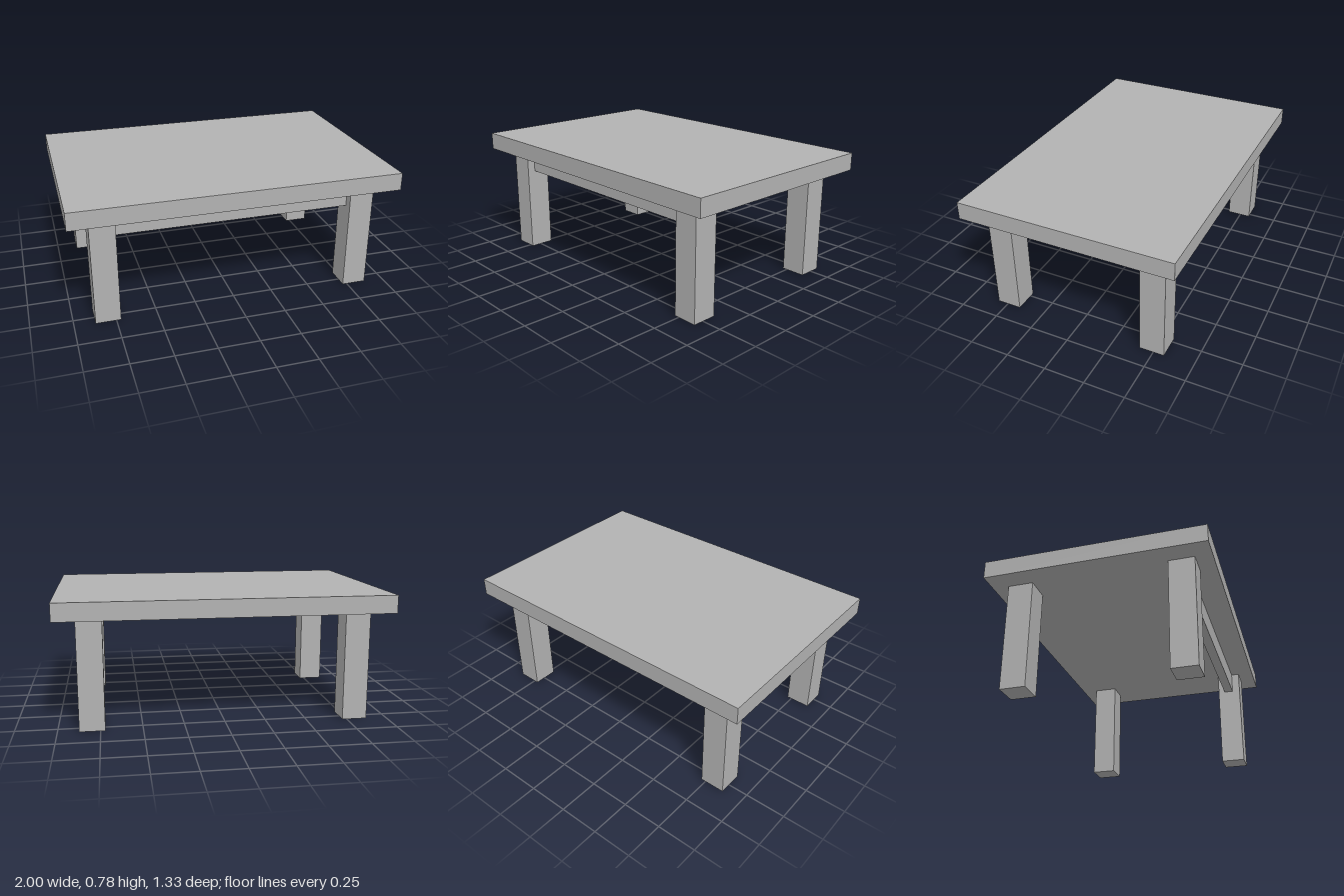
import * as THREE from 'three';

export function createModel() {
  const table = new THREE.Group();
  table.name = 'table';
  const grey = new THREE.MeshStandardMaterial({ color: 0xb2b2b2 });
  grey.name = 'plain grey';

  // Box with its underside at y
  const addBox = (name, w, h, d, x, y, z) => {
    const mesh = new THREE.Mesh(new THREE.BoxGeometry(w, h, d), grey);
    mesh.name = name;
    mesh.position.set(x, y + h / 2, z);
    table.add(mesh);
  };

  const legHeight = 0.672, legWidth = 0.152, legDepth = 0.155;
  const legX = 0.798, legZ = 0.489;

  // Table top
  addBox('tableTop', 2, 0.108, 1.333, 0, legHeight, 0);

  // Four legs
  for (const [side, sx] of [['Left', 1], ['Right', -1]]) {
    for (const [end, sz] of [['front', 1], ['back', -1]]) {
      addBox(`${end}${side}Leg`, legWidth, legHeight, legDepth, sx * legX, 0, sz * legZ);
    }
  }

  // Single rail between the front legs
  const railHeight = 0.134;
  addBox('frontRail', 2 * legX - legWidth, railHeight, 0.06, 0, legHeight - railHeight, 0.485);

  return table;
}
